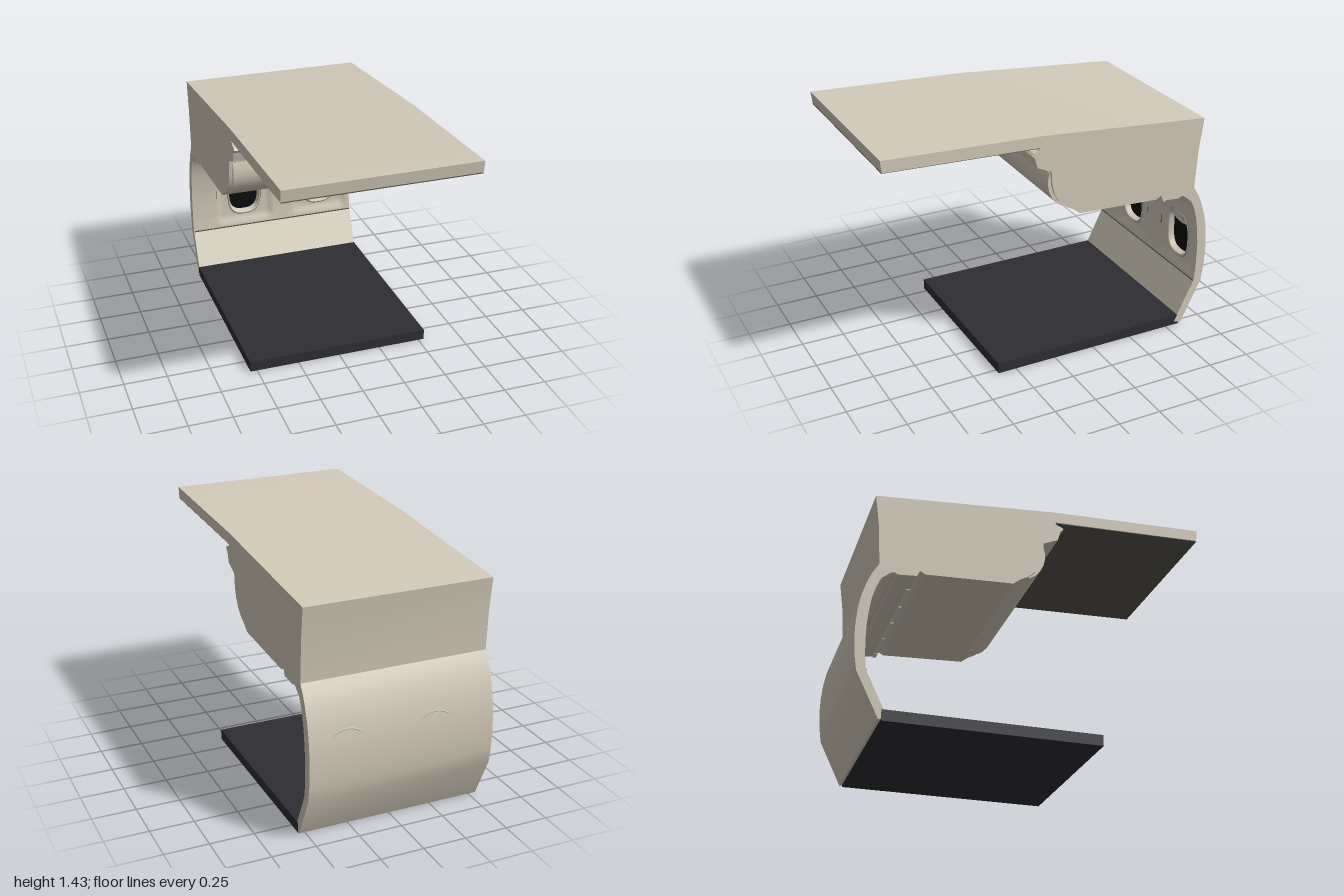
import * as THREE from 'three';
import { toCreasedNormals } from 'three/addons/utils/BufferGeometryUtils.js';

const X0 = -0.54, X1 = 0.535, MID = (X0 + X1) / 2;
const mat = (color) => new THREE.MeshStandardMaterial({ color, side: THREE.DoubleSide, roughness: 0.8 });
const beige = mat(0xd2c9b8), cream = mat(0xd8d2bf), dark = mat(0x2e2d33), black = mat(0x0c0c0c), seam = mat(0x5a564c);

// Wall side profiles as [z, y], bottom to top
const OUTER = [[-0.855, 0.006], [-0.98, 0.26], [-0.993, 0.35], [-0.999, 0.45], [-0.997, 0.53], [-0.988, 0.62],
  [-0.972, 0.7], [-0.95, 0.77], [-0.925, 0.83], [-0.888, 0.89]];
const INNER = [[-0.81, 0.02], [-0.93, 0.27], [-0.938, 0.35], [-0.94, 0.45], [-0.938, 0.53], [-0.93, 0.61],
  [-0.917, 0.69], [-0.9, 0.75], [-0.872, 0.81], [-0.82, 0.85]];

function zAt(profile, y) {
  for (let i = 1; i < profile.length; i++) {
    const [za, ya] = profile[i - 1], [zb, yb] = profile[i];
    if (y <= yb || i === profile.length - 1) return za + (zb - za) * (y - ya) / (yb - ya);
  }
}

// Extrude a [z, y] outline along x
function alongX(name, outline, xa, xb, material) {
  const shape = new THREE.Shape(outline.map(([z, y]) => new THREE.Vector2(-z, y)));
  const geo = new THREE.ExtrudeGeometry(shape, { depth: xb - xa, bevelEnabled: false });
  geo.rotateY(Math.PI / 2).translate(xa, 0, 0);
  return named(name, toCreasedNormals(geo, 0.45), material);
}

function named(name, geo, material) {
  const mesh = new THREE.Mesh(geo, material);
  mesh.name = name;
  return mesh;
}

function box(name, w, h, d, x, y, z, material) {
  const mesh = named(name, new THREE.BoxGeometry(w, h, d), material);
  mesh.position.set(x, y, z);
  return mesh;
}

// Smooth sheet from a function of (i, j)
function sheet(name, nu, nv, f, material) {
  const pos = [], idx = [];
  for (let j = 0; j <= nv; j++) for (let i = 0; i <= nu; i++) pos.push(...f(i, j));
  for (let j = 0; j < nv; j++) for (let i = 0; i < nu; i++) {
    const a = j * (nu + 1) + i, b = a + 1, c = a + nu + 1, d = c + 1;
    idx.push(a, c, b, b, c, d);
  }
  const geo = new THREE.BufferGeometry();
  geo.setAttribute('position', new THREE.Float32BufferAttribute(pos, 3));
  geo.setIndex(idx);
  geo.computeVertexNormals();
  return named(name, geo, material);
}

// Rounded window outline
const WY = 0.495, A = 0.108, B = 0.147;
function oval(t, s = 1) {
  const c = Math.cos(t), d = Math.sin(t), n = 2.9;
  const r = s * Math.pow(Math.pow(Math.abs(c / A), n) + Math.pow(Math.abs(d / B), n), -1 / n);
  return [r * c, r * d];
}

// One window with the wall panel around it
function windowBay(cx, xa, xb) {
  const bay = new THREE.Group();
  bay.name = 'windowBay';
  const ss = THREE.MathUtils.smoothstep;
  const wallZ = (x, y) => zAt(INNER, y)
    - 0.012 * (1 - ss(Math.abs(x - cx), 0.145, 0.195)) * ss(y, 0.28, 0.34) * (1 - ss(y, 0.72, 0.8));

  // wall panel: rings from the oval hole to the bay's rectangle
  const corners = [[xa, 0.27], [xb, 0.27], [xb, 0.85], [xa, 0.85], [xa, 0.27]];
  const N = 24, rings = 20;
  bay.add(sheet('wallPanel', 4 * N, rings, (i, j) => {
    const k = Math.min(3, Math.floor(i / N)), f = i / N - k, p = corners[k], q = corners[k + 1];
    const rx = p[0] + (q[0] - p[0]) * f, ry = p[1] + (q[1] - p[1]) * f;
    const [ox, oy] = oval(Math.atan2(ry - WY, rx - cx));
    const u = j / rings, x = cx + ox + (rx - cx - ox) * u, y = WY + oy + (ry - WY - oy) * u;
    return [x, y, wallZ(x, y)];
  }, beige));

  // frame: raised lip, then a sloping reveal down to the glass
  const lip = [[1.02, -0.002], [1.0, 0.004], [0.95, 0.004], [0.93, -0.002], [0.9, -0.02], [0.87, -0.034]];
  bay.add(sheet('windowFrame', 64, lip.length - 1, (i, j) => {
    const [x, y] = oval(i / 64 * Math.PI * 2, lip[j][0]);
    return [cx + x, WY + y, wallZ(cx + x, WY + y) + lip[j][1]];
  }, beige));
  const line = [];
  for (let i = 0; i < 64; i++) {
    const [x, y] = oval(i / 64 * Math.PI * 2, 1.02);
    line.push(new THREE.Vector3(cx + x, WY + y, wallZ(cx + x, WY + y)));
  }
  bay.add(named('frameSeam', new THREE.TubeGeometry(new THREE.CatmullRomCurve3(line, true), 96, 0.0015, 4, true), seam));

  bay.add(sheet('glass', 64, 6, (i, j) => {
    const [x, y] = oval(i / 64 * Math.PI * 2, 0.9 * j / 6);
    return [cx + x, WY + y, wallZ(cx + x, WY + y) - 0.033];
  }, black));

  // partly lowered shade with a curved lower edge
  const w = 0.09;
  bay.add(sheet('windowShade', 24, 6, (i, j) => {
    const dx = -w + 2 * w * i / 24;
    const top = WY + 0.9 * B * Math.pow(1 - Math.pow(Math.abs(dx) / (0.9 * A), 2.9), 1 / 2.9);
    const low = 0.552 + 0.02 * Math.pow(dx / w, 2), y = low + (Math.max(top, low) - low) * j / 6;
    return [cx + dx, y, wallZ(cx + dx, y) - 0.022];
  }, beige));
  bay.add(box('shadeGrip', 0.05, 0.01, 0.008, cx, 0.584, wallZ(cx, 0.584) - 0.02, seam));
  bay.add(box('shadeGripLip', 0.042, 0.005, 0.01, cx, 0.583, wallZ(cx, 0.584) - 0.018, beige));

  // crescent where the frame's top breaks the outer skin
  const arc = [];
  for (let i = 0; i <= 12; i++) {
    const dx = -0.09 + 0.18 * i / 12, y = 0.605 + 0.035 * (1 - Math.pow(dx / 0.09, 2));
    arc.push(new THREE.Vector3(cx + dx, y, zAt(OUTER, y) + 0.004 - 0.005 * Math.sin(Math.PI * i / 12)));
  }
  bay.add(named('outerCrescent', new THREE.TubeGeometry(new THREE.CatmullRomCurve3(arc), 24, 0.005, 6), beige));
  return bay;
}

export function createModel() {
  const g = new THREE.Group();
  g.name = 'cabinSection';

  // Floor
  g.add(box('floor', X1 - X0, 0.062, 1.2, MID, 0.031, -0.24, dark));

  // Ceiling and overhead bin in one cross-section
  g.add(alongX('ceilingAndBin', [
    [1, 1.43], [0.1, 1.393], [-0.925, 1.31], [-0.9, 1.12], [-0.888, 0.89], [-0.862, 0.866], [-0.83, 0.848],
    [-0.8, 0.853], [-0.785, 0.843], [-0.68, 0.852], [-0.665, 0.885], [-0.635, 0.868], [-0.14, 0.893], [-0.1, 0.925],
    [-0.05, 0.952], [-0.01, 0.99], [0.02, 1.04], [0.035, 1.1], [0.04, 1.178], [0.125, 1.215], [0.14, 1.27],
    [0.16, 1.29], [0.15, 1.302], [0.12, 1.312], [0.11, 1.328], [0.992, 1.362]], X0, X1, beige));
  g.add(alongX('ceilingLining', [[0.994, 1.364], [0.994, 1.359], [0.11, 1.324], [0.11, 1.33]], X0 + 0.002, X1 - 0.002, seam));

  // Bin door with handle
  g.add(alongX('binDoor', [[0.044, 1.165], [0.052, 1.13], [0.053, 1.09], [0.044, 1.05], [0.025, 1.01], [-0.005, 0.975],
    [-0.038, 0.953], [-0.05, 0.96], [0, 1.02], [0.025, 1.09], [0.03, 1.165]], -0.52, 0.52, beige));
  g.add(box('binHandleRecess', 0.124, 0.022, 0.006, -0.042, 1.105, 0.051, seam));
  g.add(box('binHandle', 0.12, 0.014, 0.01, -0.042, 1.108, 0.052, beige));

  // Service rail under the bin, split by small gaps
  for (const [a, b] of [[-0.38, -0.175], [-0.165, 0.035], [0.045, 0.255], [0.265, 0.465], [0.475, X1]])
    g.add(box('serviceRail', b - a, 0.012, 0.02, (a + b) / 2, 0.852, -0.69, cream));

  // Side wall: outer skin, end caps, lower panel, window bays
  const inset = OUTER.map(([z, y]) => [z + 0.008, y]).reverse();
  g.add(alongX('outerSkin', [...OUTER, ...inset], X0, X1, beige));
  const section = [...OUTER, ...[...INNER].reverse()];
  g.add(alongX('wallEndRight', section, X0, X0 + 0.006, beige));
  g.add(alongX('wallEndLeft', section, X1 - 0.006, X1, beige));
  g.add(alongX('lowerPanel', [[-0.929, 0.27], [-0.809, 0.02], [-0.85, 0.008], [-0.972, 0.262]], X0 + 0.001, X1 - 0.001, cream));
  g.add(box('panelSeam', X1 - X0 - 0.002, 0.006, 0.006, MID, 0.272, -0.929, seam));
  g.add(windowBay(-0.19, X0, 0.065), windowBay(0.32, 0.065, X1));
  for (const x of [0, 0.15, -0.38])
    g.add(box('wallSeam', 0.003, 0.055, 0.006, x, 0.51, -0.939, seam));
  return g;
}
